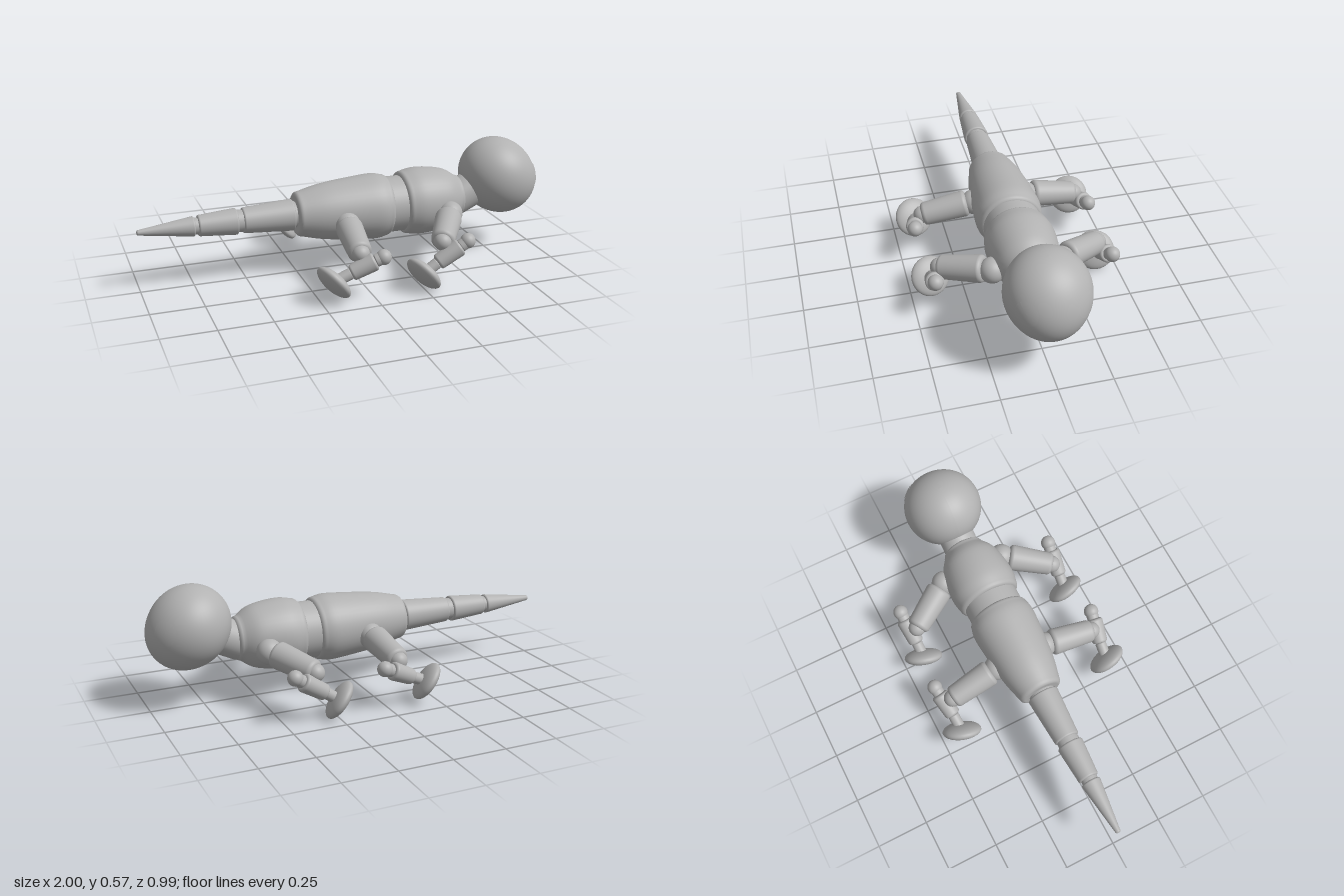
import * as THREE from 'three';

const grey = new THREE.MeshStandardMaterial({ color: 0xb2b2b2 });
grey.name = 'plain grey';
const V = (x, y, z) => new THREE.Vector3(x, y, z);
const UP = V(0, 1, 0);

function add(parent, name, geometry) {
  const m = new THREE.Mesh(geometry, grey);
  m.name = name;
  parent.add(m);
  return m;
}

// Round bar from a to b with softened rims; mid = [fraction, radius] pairs along its side
function bar(parent, name, a, b, ra, rb, soft = 0.015, mid = []) {
  const dir = b.clone().sub(a);
  const len = dir.length();
  const pts = [new THREE.Vector2(0, 0)];
  for (let i = 0; i <= 5; i++) {
    const t = (i / 5) * Math.PI / 2;
    pts.push(new THREE.Vector2(ra - soft + soft * Math.sin(t), soft - soft * Math.cos(t)));
  }
  if (mid.length) {
    const side = new THREE.SplineCurve([
      new THREE.Vector2(ra, soft),
      ...mid.map(([f, r]) => new THREE.Vector2(r, f * len)),
      new THREE.Vector2(rb, len - soft)
    ]);
    pts.push(...side.getPoints(16).slice(1, -1));
  }
  for (let i = 0; i <= 5; i++) {
    const t = (i / 5) * Math.PI / 2;
    pts.push(new THREE.Vector2(rb - soft + soft * Math.cos(t), len - soft + soft * Math.sin(t)));
  }
  pts.push(new THREE.Vector2(0, len));
  const m = add(parent, name, new THREE.LatheGeometry(pts, 40));
  m.position.copy(a);
  m.quaternion.setFromUnitVectors(UP, dir.normalize());
  return m;
}

function ball(parent, name, p, r) {
  const m = add(parent, name, new THREE.SphereGeometry(r, 28, 20));
  m.position.copy(p);
  return m;
}

// Head form: a sphere swollen toward the snout and flattened on the brow
const SNOUT = V(0.74, -0.67, 0).normalize();
const BROW = V(0.72, 0.69, 0).normalize();
function shapeHead(geometry, grow) {
  const p = geometry.attributes.position;
  const v = V(0, 0, 0);
  for (let i = 0; i < p.count; i++) {
    v.fromBufferAttribute(p, i).normalize();
    const s = v.dot(SNOUT), b = v.dot(BROW);
    const r = 0.191 + 0.018 * Math.max(0, s) ** 3 + 0.008 * Math.max(0, -s) ** 3
      - 0.01 * Math.max(0, b) ** 3 - 0.008 * Math.max(0, -b) ** 3;
    v.multiplyScalar(r + grow);
    p.setXYZ(i, v.x, v.y, v.z);
  }
  geometry.computeVertexNormals();
  return geometry;
}

function leg(root, name, s, d) {
  const g = new THREE.Group();
  g.name = name;
  root.add(g);
  const P = ([x, y, z]) => V(x, y, z * s);
  ball(g, 'shoulderJoint', P(d.hip), 0.06);
  bar(g, 'upperLeg', P(d.top), P(d.elbow), 0.064, 0.056, 0.02);
  ball(g, 'elbowJoint', P(d.elbow), 0.042);
  ball(g, 'kneeBall', P(d.knee), 0.036);
  bar(g, 'kneePin', P(d.knee), P(d.shin), 0.03, 0.03, 0.005);
  bar(g, 'lowerLeg', P(d.shin), P(d.ankle), 0.043, 0.038, 0.012);
  bar(g, 'ankle', P(d.ankle), P(d.foot), 0.027, 0.027, 0.005);
  const foot = ball(g, 'foot', P(d.foot), 1);
  foot.scale.set(0.095, 0.036, 0.095);
  foot.quaternion.setFromUnitVectors(UP, V(0.77, 0.57, -0.27 * s).normalize());
}

export function createModel() {
  const root = new THREE.Group();
  root.name = 'lizardFigure';
  const X = (x, y = 0.295) => V(x, y, 0);

  // Torso
  bar(root, 'hindBody', X(-0.255), X(0.21, 0.291), 0.108, 0.15, 0.022,
    [[0.3, 0.135], [0.65, 0.153], [0.85, 0.159]]);
  bar(root, 'waist', X(0.19, 0.29), X(0.3, 0.29), 0.136, 0.136, 0.005);
  bar(root, 'chest', X(0.28, 0.292), X(0.595), 0.155, 0.105, 0.022,
    [[0.25, 0.165], [0.5, 0.16], [0.75, 0.142]]);
  bar(root, 'neck', V(0.56, 0.275, 0), V(0.74, 0.36, 0), 0.088, 0.088, 0.01);

  // Tail: tapering links on narrower joints
  const links = [
    [-0.265, -0.51, 0.076, 0.061], [-0.535, -0.72, 0.063, 0.05], [-0.735, -1, 0.047, 0.013]
  ];
  links.forEach(([a, b, ra, rb], i) => {
    bar(root, 'tailLink' + (i + 1), X(a), X(b), ra, rb, 0.009);
    bar(root, 'tailJoint' + (i + 1), X(a + 0.05), X(a - 0.02), ra * 0.84, ra * 0.84, 0.004);
  });

  // Head with slightly raised eye discs
  const head = new THREE.Group();
  head.name = 'head';
  head.position.set(0.803, 0.383, 0);
  root.add(head);
  add(head, 'skull', shapeHead(new THREE.SphereGeometry(1, 56, 40), 0));
  for (const s of [1, -1]) {
    const cap = new THREE.SphereGeometry(1, 32, 8, 0, Math.PI * 2, 0, 0.3);
    const turn = new THREE.Quaternion().setFromUnitVectors(UP, V(0.125, 0.022, 0.115 * s).normalize());
    cap.applyQuaternion(turn);
    const eye = add(head, s > 0 ? 'rightEye' : 'leftEye', shapeHead(cap, 0.003));
    eye.renderOrder = 1;
  }

  // Legs, mirrored across the spine
  const front = {
    hip: [0.48, 0.265, 0.16], top: [0.46, 0.262, 0.19], elbow: [0.345, 0.217, 0.375],
    knee: [0.455, 0.222, 0.413], shin: [0.42, 0.198, 0.41], ankle: [0.31, 0.128, 0.403], foot: [0.243, 0.082, 0.402]
  };
  const rear = {
    hip: [-0.035, 0.265, 0.13], top: [-0.04, 0.262, 0.16], elbow: [-0.06, 0.215, 0.38],
    knee: [0.032, 0.205, 0.431], shin: [-0.005, 0.19, 0.425], ankle: [-0.115, 0.138, 0.408], foot: [-0.195, 0.102, 0.402]
  };
  for (const s of [1, -1]) {
    const side = s > 0 ? 'right' : 'left';
    leg(root, side + 'FrontLeg', s, front);
    leg(root, side + 'RearLeg', s, rear);
  }
  return root;
}
